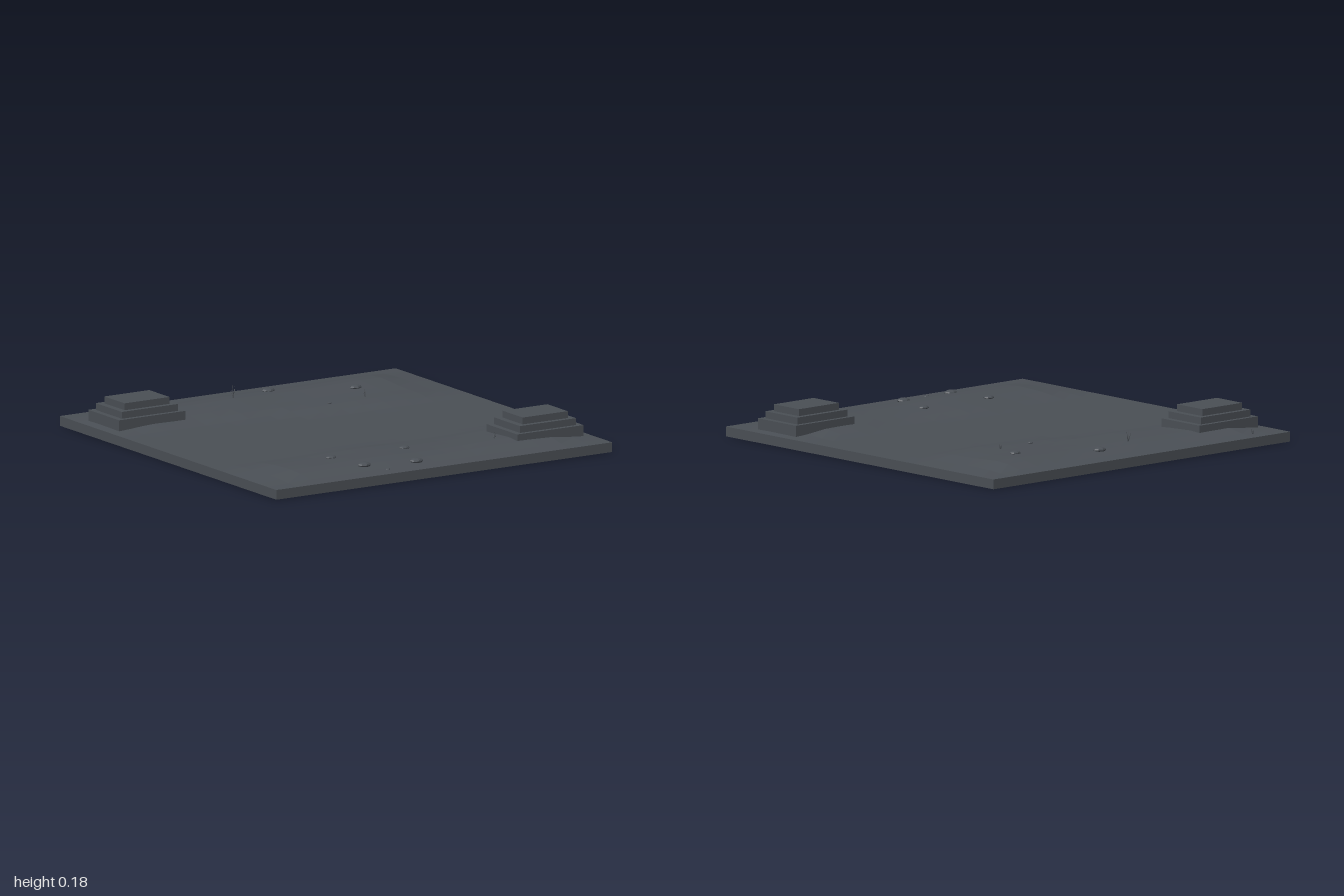
import * as THREE from 'three';

export function createModel() {
  const group = new THREE.Group();
  group.name = 'terrainTile';
  const slate = new THREE.MeshStandardMaterial({ color: 0x4a4f55, flatShading: true });
  slate.name = 'slate grey';

  const add = (name, geometry, x, y, z, parent = group) => {
    const mesh = new THREE.Mesh(geometry, slate);
    mesh.name = name;
    mesh.position.set(x, y, z);
    parent.add(mesh);
    return mesh;
  };

  // Ground height: a flat valley along x between two low, uneven banks
  const { smoothstep, lerp } = THREE.MathUtils;
  const groundY = (x, z) => {
    const start = z > 0
      ? 0.37 + 0.03 * Math.sin(x * 7)
      : lerp(0.38, 0.23, smoothstep(x, -0.15, 0.15)) + 0.02 * Math.sin(x * 9);
    const d = Math.abs(z);
    const rise = 0.65 * smoothstep(d, start, start + 0.18) + 0.35 * smoothstep(d, 0.5, 0.8);
    const rim = smoothstep(1 - d, 0, 0.24) * smoothstep(1 - Math.abs(x), 0, 0.3);
    const bump = 0.027 + 0.006 * Math.abs(x) + 0.003 * Math.sin(x * 8 + z * 5);
    return 0.05 + bump * rise * rim;
  };

  // Ground slab with its top face raised by the height rule
  const slab = new THREE.BoxGeometry(2, 0.05, 2, 16, 1, 24);
  slab.translate(0, 0.025, 0);
  const pos = slab.attributes.position;
  for (let i = 0; i < pos.count; i++) {
    if (pos.getY(i) > 0.04) pos.setY(i, groundY(pos.getX(i), pos.getZ(i)));
  }
  slab.computeVertexNormals();
  add('ground', slab, 0, 0, 0);

  // Stepped platforms in opposite corners: [width, depth, bottom, top]
  const tiers = [
    [0.395, 0.285, 0.03, 0.11],
    [0.335, 0.24, 0.11, 0.145],
    [0.268, 0.188, 0.145, 0.18],
  ];
  for (const side of [-1, 1]) {
    const platform = new THREE.Group();
    platform.name = side < 0 ? 'backPlatform' : 'frontPlatform';
    platform.position.set(0.75 * side, 0, 0.675 * side);
    group.add(platform);
    for (const [w, d, y0, y1] of tiers) {
      add('platformTier', new THREE.BoxGeometry(w, y1 - y0, d), 0, (y0 + y1) / 2, 0, platform);
    }
  }

  // Flattened stones: [x, z, radius]
  const stones = [
    [0.135, -0.835, 0.036], [0.53, -0.64, 0.032], [0.245, -0.44, 0.015],
    [-0.43, 0.62, 0.03], [0, 0.63, 0.03], [-0.38, 0.85, 0.037],
    [-0.09, 0.88, 0.038], [-0.29, 0.93, 0.013],
  ];
  const stoneShape = new THREE.SphereGeometry(1, 8, 6);
  for (const [x, z, r] of stones) {
    add('stone', stoneShape, x, groundY(x, z) + r * 0.1, z).scale.set(r, r * 0.38, r * 0.76);
  }

  // Sparse grass tufts of leaning blades: [x, z, height]
  const tufts = [
    [-0.115, -0.77, 0.075], [0.475, -0.47, 0.043],
    [0.48, 0.72, 0.045], [-0.8, -0.94, 0.048],
  ];
  for (const [x, z, h] of tufts) {
    const tuft = new THREE.Group();
    tuft.name = 'grassTuft';
    tuft.position.set(x, groundY(x, z) - 0.002, z);
    group.add(tuft);
    for (let i = 0; i < 4; i++) {
      const length = h * (1 - 0.13 * i);
      const blade = new THREE.ConeGeometry(0.004, length, 4);
      blade.translate(0, length / 2, 0);
      blade.rotateZ(0.1 + 0.08 * i);
      blade.rotateY(i * 1.7);
      add('grassBlade', blade, 0, 0, 0, tuft);
    }
  }

  return group;
}
